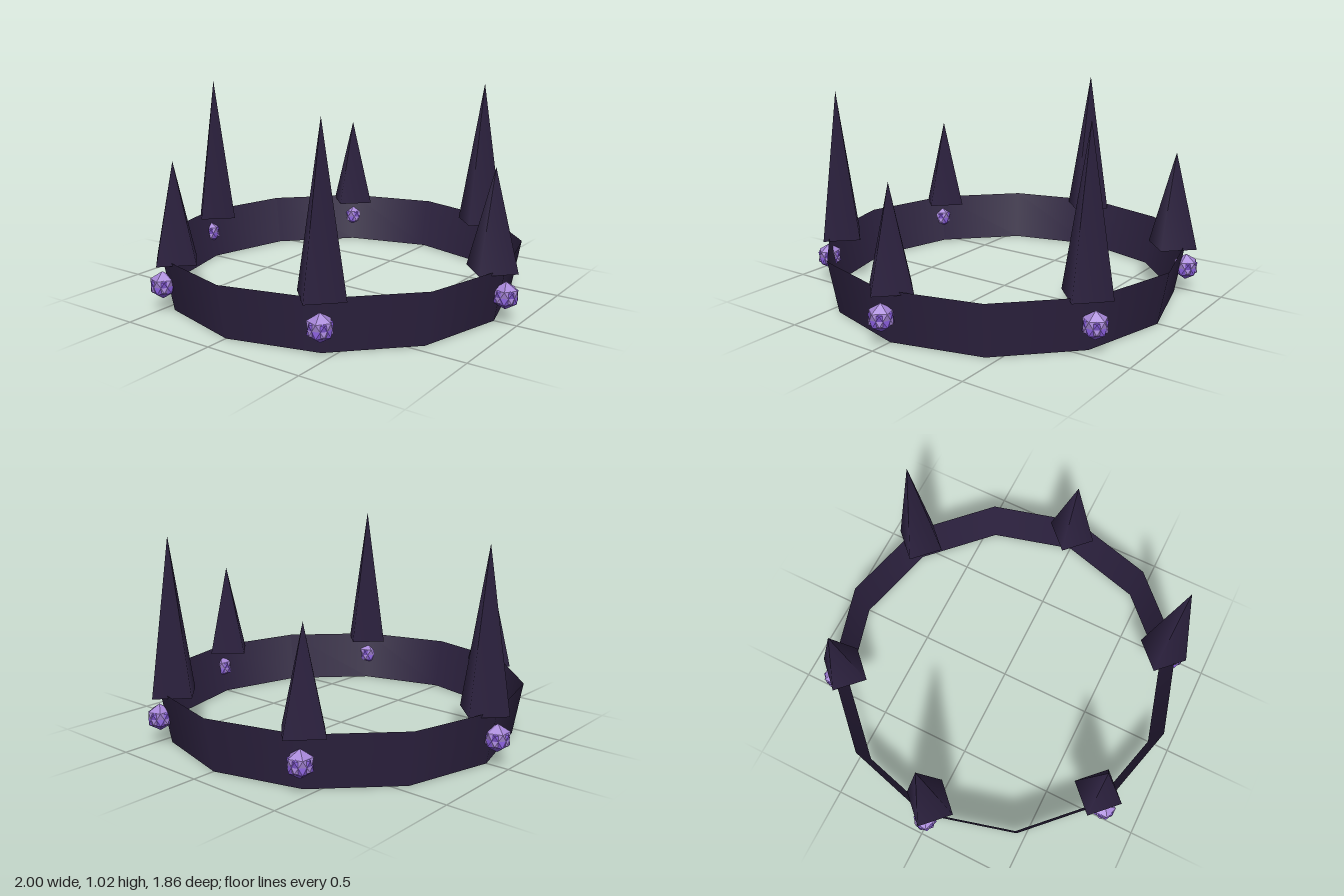
import * as THREE from 'three';

function paint(name, color, side = THREE.FrontSide) {
  const m = new THREE.MeshStandardMaterial({ color, side });
  m.name = name;
  return m;
}

export function createModel() {
  const crown = new THREE.Group();
  crown.name = 'crown';
  const dark = paint('dark violet', 0x2d2240, THREE.DoubleSide);
  const lavender = paint('lavender', 0xa585d6);
  const purple = paint('purple', 0x8258d2);
  purple.flatShading = lavender.flatShading = true;

  const add = (parent, name, geometry, material, x, y, z) => {
    const mesh = new THREE.Mesh(geometry, material);
    mesh.name = name;
    mesh.position.set(x, y, z);
    parent.add(mesh);
    return mesh;
  };

  // Flared twelve-sided band, open at top and bottom
  const bandHeight = 0.265;
  const band = new THREE.CylinderGeometry(0.932, 0.885, bandHeight, 12, 1, true);
  add(crown, 'band', band, dark, 0, bandHeight / 2, 0);

  // Four-sided spikes, alternating short and tall
  const spikeBase = 0.25;
  const heights = [0.485, 0.77];
  const spikes = heights.map((h) => new THREE.ConeGeometry(0.133, h, 4).translate(0, h / 2, 0));

  // Gem: icosahedron standing on one vertex
  const gem = new THREE.IcosahedronGeometry(0.065, 0);
  gem.rotateZ(-Math.atan(2 / (1 + Math.sqrt(5))));

  for (let i = 0; i < 6; i++) {
    const a = (i * Math.PI) / 3;
    const c = Math.cos(a), s = Math.sin(a);
    add(crown, i % 2 ? 'tallSpike' : 'shortSpike', spikes[i % 2], dark, 0.865 * c, spikeBase, 0.865 * s);

    // Two interlocked crystals make each faceted gem
    const cluster = new THREE.Group();
    cluster.name = 'gem';
    cluster.position.set(0.938 * c, 0.137, 0.938 * s);
    add(cluster, 'upperCrystal', gem, lavender, 0, 0.003, 0);
    add(cluster, 'lowerCrystal', gem, purple, 0, -0.003, 0).rotation.y = Math.PI / 5;
    crown.add(cluster);
  }
  return crown;
}
